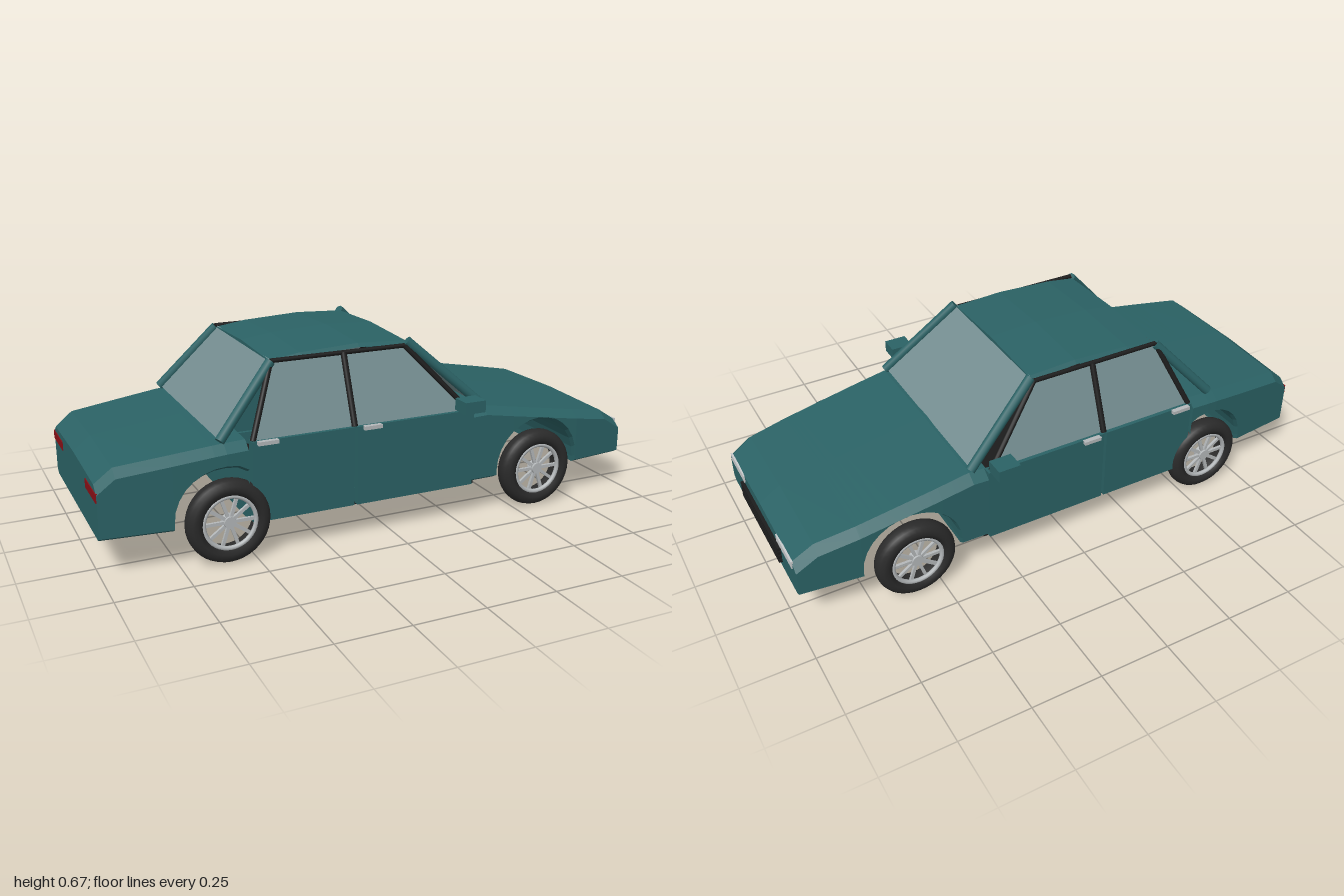
import * as THREE from 'three';

const mat = (name, color) => Object.assign(new THREE.MeshStandardMaterial({ color }), { name });

export function createModel() {
  const car = new THREE.Group();
  car.name = 'sedan';
  const paint = mat('teal paint', 0x2b6265);
  const glass = mat('window glass', 0x758e91);
  glass.side = THREE.DoubleSide;
  const black = mat('black trim', 0x1c1c1c);
  const rubber = mat('tyre rubber', 0x2a2a2a);
  const silver = mat('silver', 0xb4b8ba);
  const lamp = mat('headlight', 0xc8cbcc);
  const red = mat('tail light red', 0x8a1016);

  const add = (name, geo, m, parent = car) => {
    const mesh = new THREE.Mesh(geo, m);
    mesh.name = name;
    parent.add(mesh);
    return mesh;
  };
  // box given by its min and max on each axis
  const box = (name, m, x0, x1, y0, y1, z0, z1) => {
    const mesh = add(name, new THREE.BoxGeometry(x1 - x0, y1 - y0, z1 - z0), m);
    mesh.position.set((x0 + x1) / 2, (y0 + y1) / 2, (z0 + z1) / 2);
    return mesh;
  };
  // round bar between two points
  const bar = (name, m, r, a, b) => {
    const A = new THREE.Vector3(...a), B = new THREE.Vector3(...b);
    const d = B.clone().sub(A);
    const mesh = add(name, new THREE.CylinderGeometry(r, r, d.length(), 12), m);
    mesh.position.copy(A).add(B).multiplyScalar(0.5);
    mesh.quaternion.setFromUnitVectors(new THREE.Vector3(0, 1, 0), d.normalize());
    return mesh;
  };
  // flat-shaded closed loft; each ring lists [x, y, z], rings run towards +x
  const loft = (rings) => {
    const pos = [], n = rings[0].length;
    const tri = (...p) => p.forEach((q) => pos.push(...q));
    for (let i = 0; i < rings.length - 1; i++) {
      for (let j = 0; j < n; j++) {
        const k = (j + 1) % n, R = rings[i], S = rings[i + 1];
        tri(R[j], R[k], S[k]);
        tri(R[j], S[k], S[j]);
      }
    }
    const first = rings[0], last = rings[rings.length - 1];
    for (let j = 1; j < n - 1; j++) {
      tri(first[0], first[j + 1], first[j]);
      tri(last[0], last[j], last[j + 1]);
    }
    const g = new THREE.BufferGeometry();
    g.setAttribute('position', new THREE.Float32BufferAttribute(pos, 3));
    g.computeVertexNormals();
    return g;
  };
  // straight-line lookup in a list of [x, value]
  const lerpList = (list, x) => {
    for (let i = 1; i < list.length; i++) {
      const [xa, a] = list[i - 1], [xb, b] = list[i];
      if (x <= xb) return a + ((b - a) * (x - xa)) / (xb - xa);
    }
    return list[list.length - 1][1];
  };

  // body ends: bevelled sections with an open wheel arch
  const bodyEnd = (name, tops, widths, x0, x1, arch0, arch1) => {
    const stations = tops.map(([x]) => [x, 0.13]).filter(([x]) => x <= arch0 || x >= arch1);
    stations.push([arch0, 0.13]);
    const centre = arch0 < 0 ? -0.59 : 0.595, r = 0.176;
    const steps = 14;
    for (let i = 0; i <= steps; i++) {
      const a = Math.PI * (1 - i / steps);
      const x = centre + r * Math.cos(a);
      if (x <= arch1) stations.push([x, 0.15 + 0.172 * Math.sin(a)]);
    }
    if (arch1 < x1) stations.push([arch1, 0.13]);
    else stations.push([x1, 0.3]);
    const sorted = stations.map((s, i) => [...s, i]).sort((p, q) =>
      p[0] - q[0] || (p[0] < centre ? p[1] - q[1] : q[1] - p[1]));
    const rings = sorted.map(([x, b]) => {
      const t = lerpList(tops, x), w = lerpList(widths, x);
      const half = [[w - 0.02, b], [w, b + 0.012], [w, t - 0.035], [w - 0.035, t - 0.008]];
      return [
        ...half.map(([z, y]) => [x, y, -z]), [x, t, 0],
        ...half.reverse().map(([z, y]) => [x, y, z]),
      ];
    });
    add(name, loft(rings), paint);
  };
  bodyEnd('frontBody',
    [[0.31, 0.408], [0.37, 0.41], [0.91, 0.313], [0.985, 0.265]],
    [[0.31, 0.387], [0.5, 0.384], [0.77, 0.373], [0.985, 0.35]], 0.31, 0.985, 0.419, 0.771);
  bodyEnd('rearBody',
    [[-1, 0.322], [-0.94, 0.37], [-0.6, 0.408], [-0.518, 0.412]],
    [[-1, 0.345], [-0.77, 0.37], [-0.6, 0.386], [-0.518, 0.387]], -1, -0.518, -0.766, -0.518);

  // floor
  box('floor', black, -0.47, 0.33, 0.12, 0.132, -0.37, 0.37);

  // roof
  const roofTop = [[-0.4, 0.641], [-0.29, 0.656], [-0.08, 0.666], [0.1, 0.657]];
  add('roof', loft(roofTop.map(([x, t]) => [
    [x, t - 0.022, -0.28], [x, t - 0.01, -0.268], [x, t, 0], [x, t - 0.01, 0.268], [x, t - 0.022, 0.28],
  ])), paint);

  // panes from four corners
  const pane = (name, a, b, c, d) => {
    const g = new THREE.BufferGeometry();
    g.setAttribute('position', new THREE.Float32BufferAttribute([a, b, c, a, c, d].flat(), 3));
    g.computeVertexNormals();
    add(name, g, glass);
  };
  pane('windshield', [0.36, 0.408, 0.335], [0.36, 0.408, -0.335], [0.095, 0.648, -0.27], [0.095, 0.648, 0.27]);
  pane('rearWindow', [-0.6, 0.407, -0.335], [-0.6, 0.407, 0.335], [-0.395, 0.634, 0.27], [-0.395, 0.634, -0.27]);

  for (const s of [1, -1]) {
    const side = s > 0 ? 'right' : 'left'; // relative to the driving direction, +x
    const zBox = (name, m, x0, x1, y0, y1, z0, z1) =>
      box(name, m, x0, x1, y0, y1, Math.min(s * z0, s * z1), Math.max(s * z0, s * z1));

    // doors, sill, handles and mirror
    zBox(side + 'RearDoor', paint, -0.507, -0.146, 0.125, 0.402, 0.355, 0.387);
    zBox(side + 'FrontDoor', paint, -0.136, 0.315, 0.125, 0.402, 0.355, 0.387);
    zBox(side + 'Sill', paint, -0.45, 0.31, 0.125, 0.18, 0.34, 0.37);
    zBox(side + 'RearHandle', silver, -0.49, -0.42, 0.391, 0.404, 0.385, 0.402);
    zBox(side + 'FrontHandle', silver, -0.115, -0.05, 0.391, 0.404, 0.385, 0.402);
    zBox(side + 'Mirror', paint, 0.235, 0.315, 0.414, 0.456, 0.39, 0.459);
    zBox(side + 'MirrorStalk', paint, 0.265, 0.285, 0.395, 0.42, 0.37, 0.4);

    // side glass with dark frames
    const low = (x) => [x, 0.4, s * 0.374], high = (x) => [x, 0.633, s * 0.283];
    pane(side + 'SideGlass', low(-0.5), low(0.3), high(0.09), high(-0.4));
    bar(side + 'RearFrame', black, 0.01, low(-0.5), high(-0.4));
    bar(side + 'MiddlePillar', black, 0.011, low(-0.14), high(-0.14));
    bar(side + 'FrontFrame', black, 0.01, low(0.3), high(0.09));
    bar(side + 'TopFrame', black, 0.008, high(-0.4), high(0.09));

    // painted pillars
    bar(side + 'FrontPillar', paint, 0.017, [0.365, 0.408, s * 0.35], [0.1, 0.648, s * 0.28]);
    bar(side + 'RearPillar', paint, 0.017, [-0.603, 0.408, s * 0.35], [-0.4, 0.63, s * 0.28]);

    // lamps
    zBox(side + 'Headlight', lamp, 0.982, 0.989, 0.233, 0.261, 0.17, 0.322);
    zBox(side + 'TailLight', red, -1.003, -0.996, 0.262, 0.293, 0.19, 0.343);
  }

  // grille slats
  for (let i = 0; i < 4; i++) {
    box('grilleSlat', black, 0.98, 0.997, 0.16 + i * 0.017, 0.171 + i * 0.017, -0.198, 0.198);
  }

  // wheels: rounded tyre, rim ring, hub and ten spokes
  const tyreProfile = [
    [0.094, -0.028], [0.11, -0.035], [0.126, -0.033], [0.138, -0.022], [0.143, -0.008],
    [0.143, 0.008], [0.138, 0.022], [0.126, 0.033], [0.11, 0.035], [0.094, 0.028], [0.094, -0.028],
  ].map(([x, y]) => new THREE.Vector2(x, y));
  const tyreGeo = new THREE.LatheGeometry(tyreProfile, 40).rotateX(Math.PI / 2);
  const rimGeo = new THREE.TorusGeometry(0.089, 0.008, 8, 40);
  const hubGeo = new THREE.CylinderGeometry(0.02, 0.024, 0.03, 20).rotateX(Math.PI / 2);
  const spokeGeo = new THREE.BoxGeometry(0.075, 0.011, 0.01).translate(0.05, 0, 0);
  for (const x of [-0.59, 0.588]) {
    for (const s of [1, -1]) {
      const wheel = new THREE.Group();
      wheel.name = (x > 0 ? 'front' : 'rear') + 'Wheel';
      wheel.position.set(x, 0.144, s * 0.369);
      if (s < 0) wheel.rotation.y = Math.PI;
      car.add(wheel);
      add('tyre', tyreGeo, rubber, wheel);
      add('rim', rimGeo, silver, wheel).position.z = 0.022;
      add('hub', hubGeo, silver, wheel).position.z = 0.012;
      for (let i = 0; i < 10; i++) {
        const spoke = add('spoke', spokeGeo, silver, wheel);
        spoke.rotation.z = (i * Math.PI) / 5;
        spoke.position.z = 0.016;
      }
    }
  }
  return car;
}
